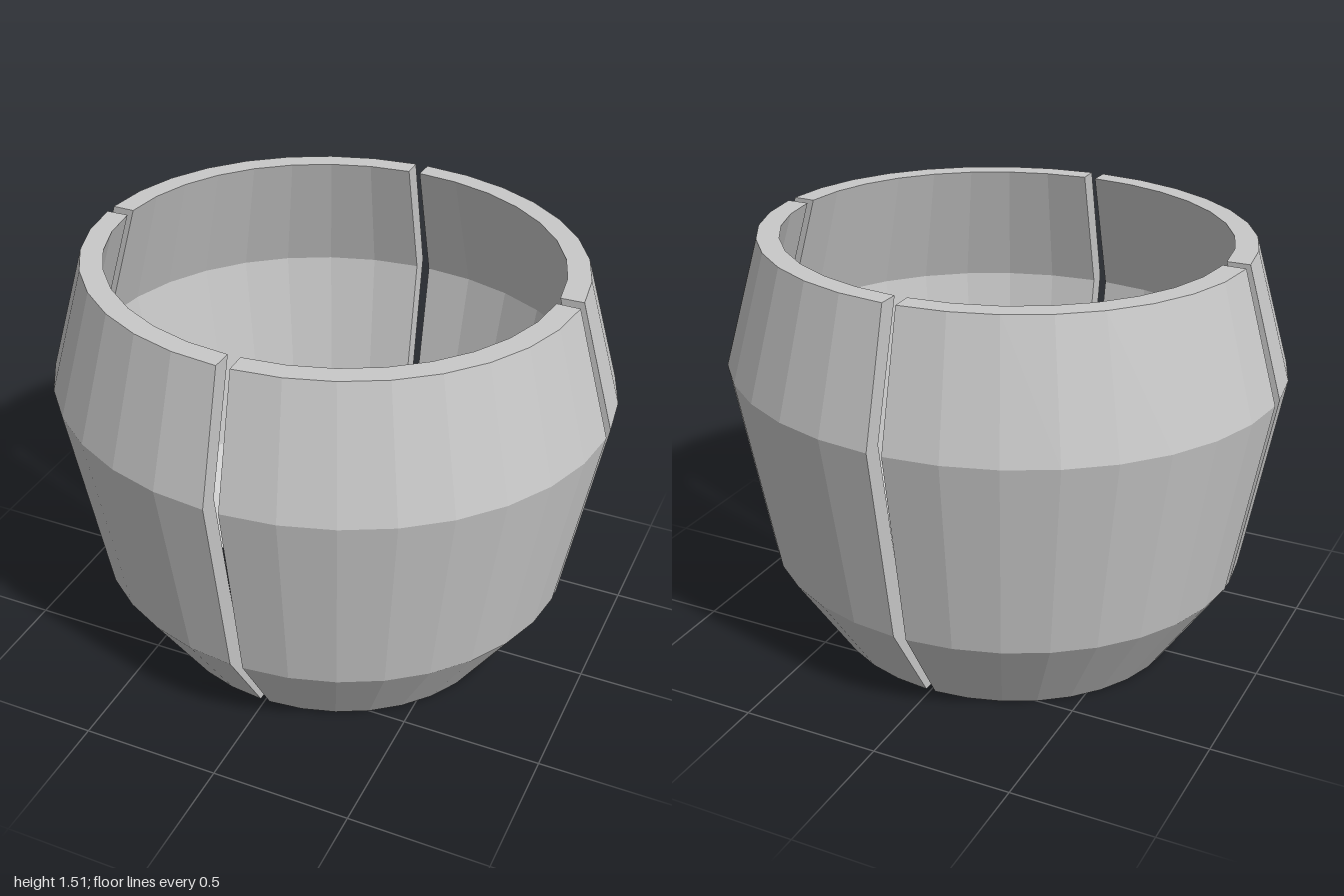
import * as THREE from 'three';

export function createModel() {
  const model = new THREE.Group();
  const shellGray = new THREE.MeshStandardMaterial({ color: 0xc8c8c8, flatShading: true });
  shellGray.name = 'shellGray';

  // Closed wall section: up the outside, down the inside
  const section = [
    [0.65, 0], [0.87, 0.33], [1, 1.06], [0.87, 1.515],
    [0.79, 1.515], [0.925, 1.06], [0.79, 0.33], [0.575, 0],
  ].map(([r, y]) => new THREE.Vector2(r, y));
  const depth = 0.928; // oval plan, slightly shallower than wide
  const gap = 0.027; // half the angular slot between segments

  // Flat end of a segment at the given angle
  function endCap(angle, flip) {
    const geometry = new THREE.ShapeGeometry(new THREE.Shape(section));
    if (flip) geometry.index.array.reverse();
    return geometry.rotateY(angle - Math.PI / 2);
  }

  // Four curved wall segments separated by slots
  ['frontLeft', 'backLeft', 'backRight', 'frontRight'].forEach((name, i) => {
    const start = (i * Math.PI) / 2 + gap;
    const sweep = Math.PI / 2 - 2 * gap;
    const segment = new THREE.Group();
    segment.name = name + 'Segment';
    const parts = {
      Wall: new THREE.LatheGeometry([...section, section[0]], 8, start, sweep),
      StartEdge: endCap(start, false),
      FinishEdge: endCap(start + sweep, true),
    };
    for (const [part, geometry] of Object.entries(parts)) {
      geometry.scale(1, 1, depth);
      const mesh = new THREE.Mesh(geometry, shellGray);
      mesh.name = name + part;
      segment.add(mesh);
    }
    model.add(segment);
  });

  return model;
}
